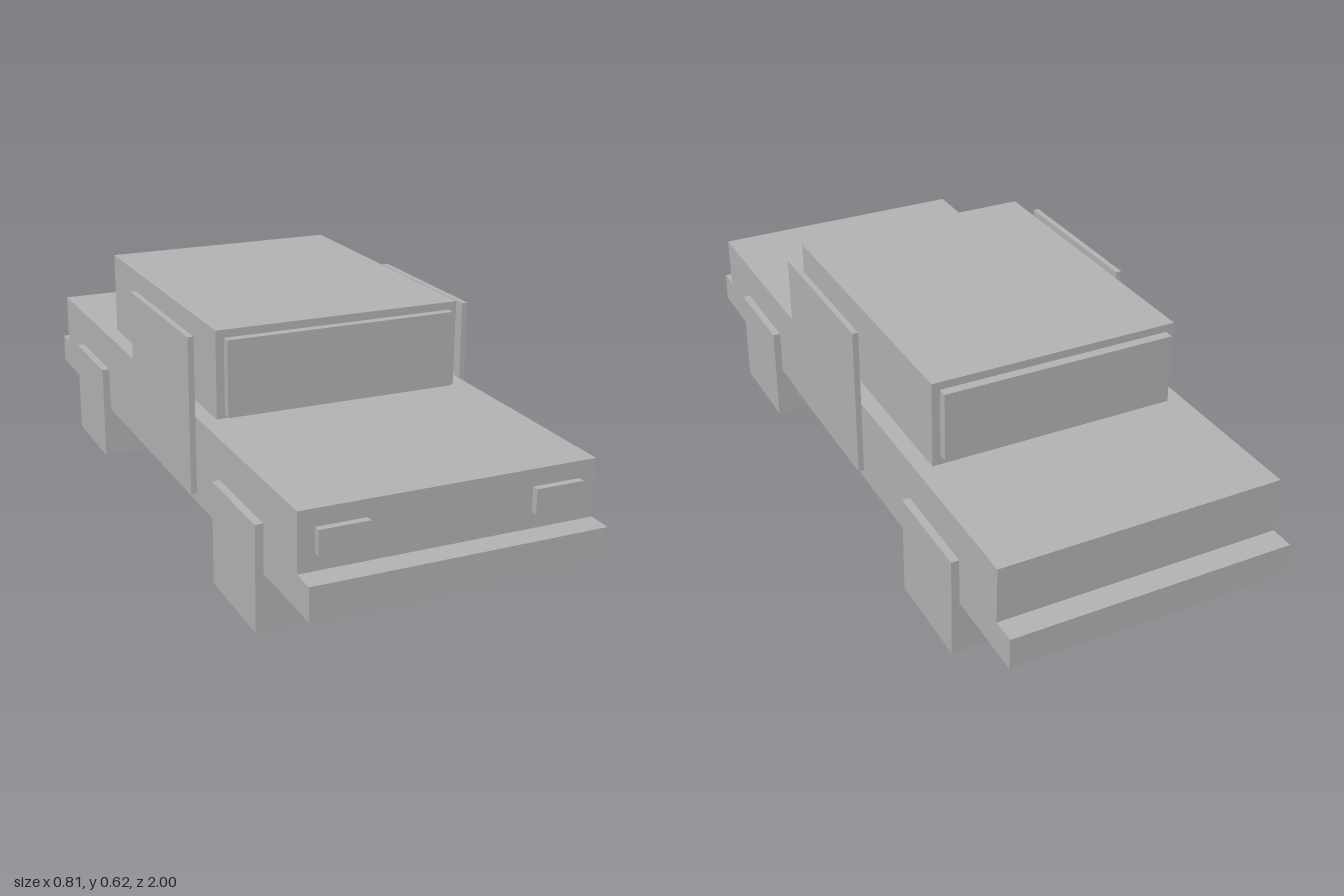
import * as THREE from 'three';

export function createModel() {
  const car = new THREE.Group();
  car.name = 'car';
  const grey = new THREE.MeshStandardMaterial({ name: 'plain grey', color: 0xb3b3b3 });

  // Box given by its extents along each axis
  function block(name, [x0, x1], [y0, y1], [z0, z1]) {
    const mesh = new THREE.Mesh(new THREE.BoxGeometry(x1 - x0, y1 - y0, z1 - z0), grey);
    mesh.position.set((x0 + x1) / 2, (y0 + y1) / 2, (z0 + z1) / 2);
    mesh.name = name;
    car.add(mesh);
  }

  // Chassis with bumper ledges, body and cabin
  block('chassis', [-0.383, 0.383], [0.15, 0.235], [-1, 1]);
  block('body', [-0.383, 0.383], [0.235, 0.385], [-0.935, 0.935]);
  block('cabin', [-0.34, 0.34], [0.385, 0.618], [-0.512, 0.34]);

  // Raised window panels
  block('windshield', [-0.318, 0.318], [0.393, 0.597], [0.34, 0.364]);
  block('rearWindow', [-0.318, 0.318], [0.41, 0.597], [-0.538, -0.512]);

  // Parts mirrored on both sides
  for (const [side, s] of [['left', 1], ['right', -1]]) {
    const span = (a, b) => (s > 0 ? [a, b] : [-b, -a]);
    block(side + 'Headlight', span(0.213, 0.34), [0.278, 0.341], [0.935, 0.953]);
    block(side + 'Door', span(0.383, 0.399), [0.175, 0.597], [-0.168, 0.3]);
    block(side + 'FrontWheel', span(0.278, 0.404), [0, 0.277], [0.469, 0.746]);
    block(side + 'RearWheel', span(0.278, 0.404), [0, 0.277], [-0.746, -0.469]);
  }
  return car;
}
